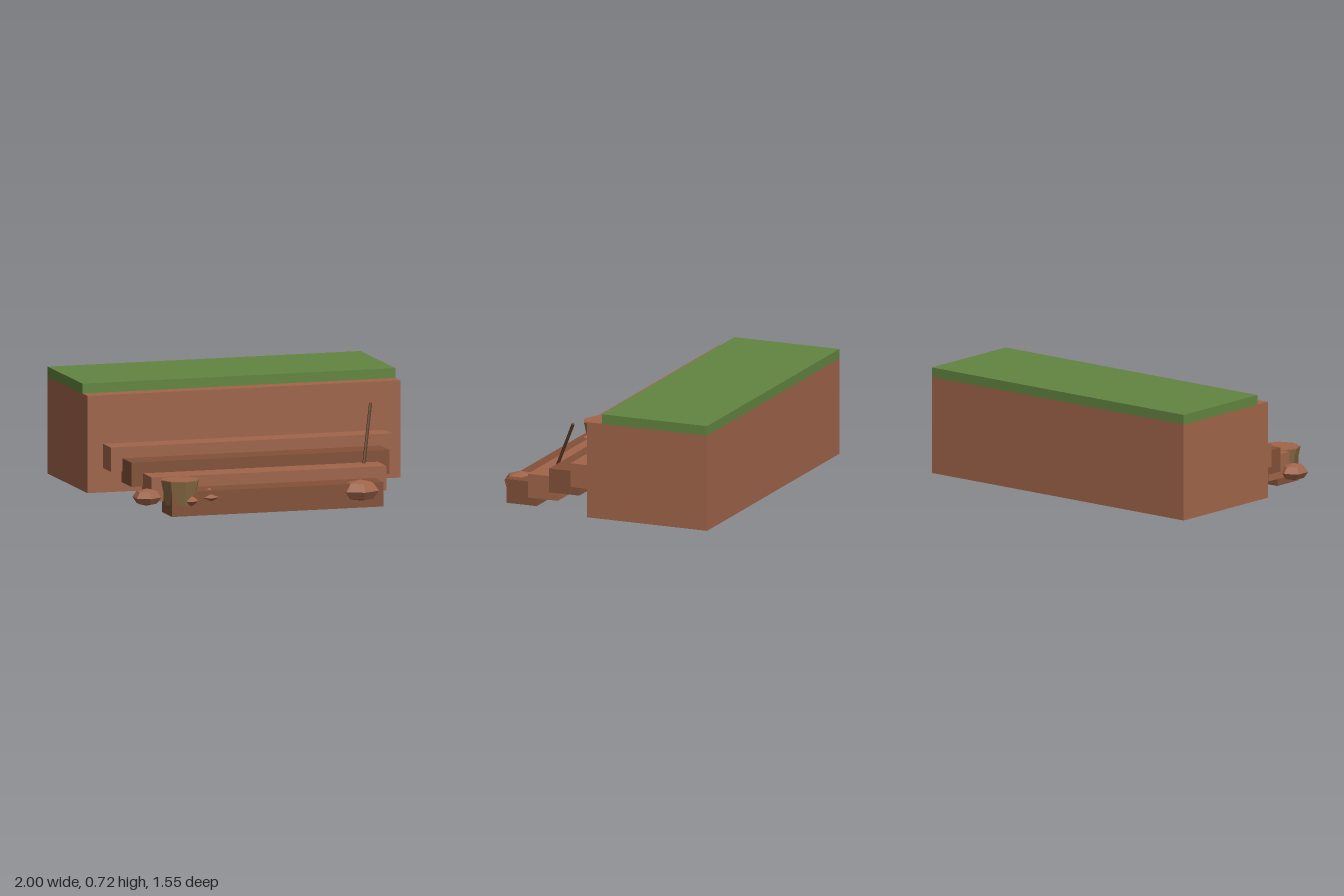
import * as THREE from 'three';

const mat = (color) => new THREE.MeshStandardMaterial({ color, flatShading: true });
const earth = mat(0xa0654a), darkEarth = mat(0x835139), grass = mat(0x628540);
const wood = mat(0x8a6d45), handleWood = mat(0x5c3d28), steel = mat(0x8295a3);

export function createModel() {
  const model = new THREE.Group();

  const add = (name, geometry, material, x, y, z) => {
    const mesh = new THREE.Mesh(geometry, material);
    mesh.name = name;
    mesh.position.set(x, y, z);
    model.add(mesh);
    return mesh;
  };

  // Bank of earth with turf set back from its front edge
  add('earthBank', new THREE.BoxGeometry(2, 0.6, 0.8), earth, 0, 0.36, -0.38);
  add('turf', new THREE.BoxGeometry(2, 0.06, 0.7), grass, 0, 0.69, -0.43);

  // Four overlapping steps, widening as they climb
  for (let i = 0; i < 4; i++) {
    add('step' + (i + 1), new THREE.BoxGeometry(1.35 + 0.15 * i, 0.15, 0.2),
      i % 2 ? earth : darkEarth, 0, 0.075 + 0.07 * i, 0.598 - 0.175 * i);
  }

  // Tapered eight-sided bucket filled with soil
  add('bucket', new THREE.CylinderGeometry(0.122, 0.09, 0.15, 8), wood, -0.6, 0.14, 0.62);
  add('bucketSoil', new THREE.CylinderGeometry(0.116, 0.116, 0.02, 8), earth, -0.6, 0.208, 0.62);

  // Faceted clods, a ridge of six corners with two facing front and back
  const clod = (x, y, z, rx, ry, rz, rings = 4) => {
    const geometry = new THREE.SphereGeometry(1, 6, rings).rotateY(Math.PI / 2).scale(rx, ry, rz);
    add('clod', geometry, earth, x, y, z);
  };
  clod(0.537, 0.102, 0.668, 0.12, 0.067, 0.104);
  clod(-0.782, 0.102, 0.525, 0.09, 0.053, 0.09);
  clod(-0.57, 0.105, 0.505, 0.12, 0.067, 0.12);
  clod(-0.425, 0.107, 0.655, 0.075, 0.055, 0.072, 2);
  clod(-0.552, 0.092, 0.68, 0.048, 0.048, 0.055, 2);

  // Shovel stuck in the steps, leaning back to the left
  const top = new THREE.Vector3(0.745, 0.563, 0.224);
  const foot = new THREE.Vector3(0.62, 0.11, 0.441);
  const lean = top.clone().sub(foot);
  const turn = new THREE.Quaternion().setFromUnitVectors(
    new THREE.Vector3(0, 1, 0), lean.clone().normalize());
  const middle = foot.clone().addScaledVector(lean, 0.5);
  add('shovelHandle', new THREE.CylinderGeometry(0.01, 0.01, lean.length(), 6), handleWood,
    ...middle.toArray()).quaternion.copy(turn);
  add('shovelBlade', new THREE.BoxGeometry(0.08, 0.11, 0.02), steel,
    0.61, 0.1, 0.46).quaternion.copy(turn);

  return model;
}
